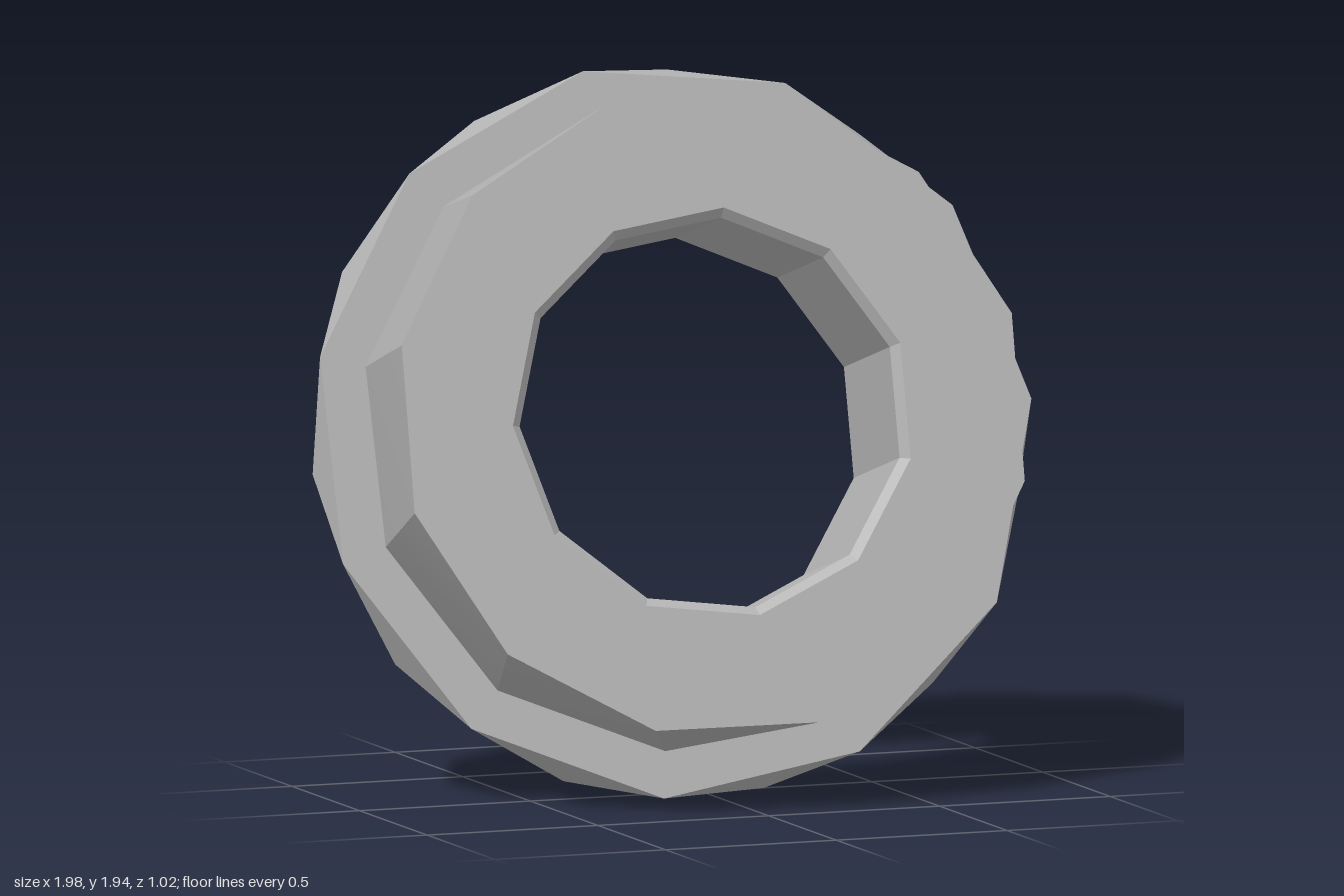
import * as THREE from 'three';
import { toCreasedNormals } from 'three/addons/utils/BufferGeometryUtils.js';

const STEP11 = 360 / 11;

// A regular ring of n points around the wheel axis (z), starting at a given angle in degrees
function ring(n, radius, depth, startDeg) {
  const offset = THREE.MathUtils.degToRad(startDeg);
  const step = (Math.PI * 2) / n;
  const angle = (i) => offset + i * step;
  const point = (i) => [radius * Math.cos(angle(i)), radius * Math.sin(angle(i)), depth];
  return { n, step, angle, point };
}

// Join two rings with triangles; side counts and start angles may differ
function stitch(a, b, out) {
  let i = 0;
  let j = Math.round((a.angle(0) - b.angle(0)) / b.step);
  const endI = a.n;
  const endJ = j + b.n;
  while (i < endI || j < endJ) {
    const advanceA = j >= endJ || (i < endI && a.angle(i + 1) <= b.angle(j + 1));
    if (advanceA) {
      out.push(...a.point(i), ...a.point(i + 1), ...b.point(j));
      i++;
    } else {
      out.push(...a.point(i), ...b.point(j + 1), ...b.point(j));
      j++;
    }
  }
}

// Skin a chain of rings as one mesh
function skin(name, rings, crease, material) {
  const positions = [];
  for (let k = 0; k + 1 < rings.length; k++) stitch(rings[k], rings[k + 1], positions);
  const geometry = new THREE.BufferGeometry();
  geometry.setAttribute('position', new THREE.Float32BufferAttribute(positions, 3));
  geometry.computeVertexNormals();
  const mesh = new THREE.Mesh(toCreasedNormals(geometry, crease), material);
  mesh.name = name;
  return mesh;
}

export function createModel() {
  const grey = new THREE.MeshStandardMaterial({ color: 0xb2b2b2 });
  grey.name = 'grey';

  // Cross-section, from the bore's back edge round to the bore's front edge
  const boreBack = ring(11, 0.54, 0, 17);
  const flangeBack = ring(11, 1.0, 0, -13);
  const flangeFront = ring(11, 1.01, 0.1, 2);
  const treadBack = ring(11, 0.88, 0.1, 2);
  const treadFront = ring(12, 0.89, 0.53, 15);
  const boreLip = ring(11, 0.565, 0.53, 17);
  const boreFront = ring(11, 0.54, 0.505, 17);

  const wheel = new THREE.Group();
  wheel.name = 'wheel';
  wheel.add(
    skin('flange', [boreBack, flangeBack, flangeFront, treadBack], 0.45, grey),
    skin('tread', [treadBack, treadFront, boreLip], 0.45, grey),
    skin('bore', [boreLip, boreFront, boreBack], 0.3, grey),
  );

  // The wheel leans back and turns slightly to one side
  const axis = new THREE.Vector3(-0.12, 0.255, 1).normalize();
  wheel.quaternion.setFromUnitVectors(new THREE.Vector3(0, 0, 1), axis);
  wheel.position.set(-0.01, 0.965, -0.24);

  const model = new THREE.Group();
  model.name = 'flangedWheel';
  model.add(wheel);
  return model;
}
